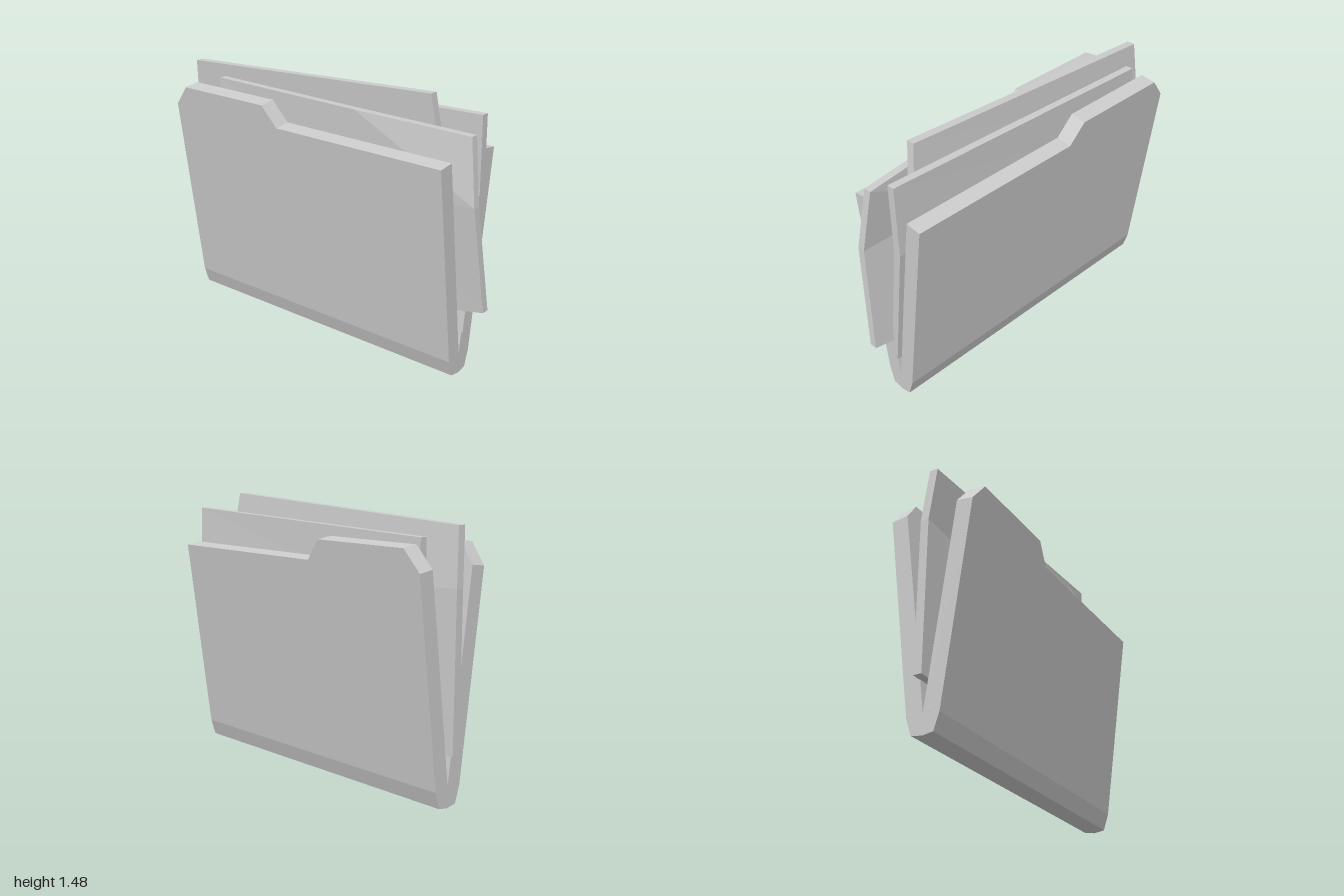
import * as THREE from 'three';

const material = new THREE.MeshStandardMaterial({ color: 0xcccccc, flatShading: true });

function addMesh(group, name, geometry) {
  const mesh = new THREE.Mesh(geometry, material);
  mesh.name = name;
  group.add(mesh);
  return mesh;
}

const polygon = (points) => new THREE.Shape(points.map(([x, y]) => new THREE.Vector2(x, y)));

// Bent sheet: rows run top to bottom, points [x, y, z] left to right along the middle of the sheet
function sheetGeometry(rows, thickness) {
  const positions = [];
  const at = ([r, c], side) => {
    const [x, y, z] = rows[r][c];
    return [x, y, z + side * thickness / 2];
  };
  const quad = (a, b, c, d) => positions.push(...a, ...b, ...c, ...a, ...c, ...d);
  const R = rows.length - 1, C = rows[0].length - 1;

  for (let r = 0; r < R; r++) {
    for (let c = 0; c < C; c++) {
      const cell = [[r, c], [r + 1, c], [r + 1, c + 1], [r, c + 1]];
      quad(...cell.map((p) => at(p, 1)));
      quad(...cell.reverse().map((p) => at(p, -1)));
    }
  }
  // Rim, walked counter-clockwise as seen from the front
  const rim = [];
  for (let r = 0; r < R; r++) rim.push([r, 0]);
  for (let c = 0; c < C; c++) rim.push([R, c]);
  for (let r = R; r > 0; r--) rim.push([r, C]);
  for (let c = C; c > 0; c--) rim.push([0, c]);
  rim.forEach((p, i) => {
    const q = rim[(i + 1) % rim.length];
    quad(at(p, 1), at(p, -1), at(q, -1), at(q, 1));
  });

  const geometry = new THREE.BufferGeometry();
  geometry.setAttribute('position', new THREE.Float32BufferAttribute(positions, 3));
  geometry.computeVertexNormals();
  return geometry;
}

export function createModel() {
  const model = new THREE.Group();
  model.name = 'folder';

  const left = -0.95, right = 0.85, depth = 0.09, lean = 0.133, foldY = 0.112;

  // Covers with a raised tab, leaning apart from the fold
  const coverShape = polygon([
    [left, 0], [right, 0], [right, 1.093], [-0.19, 1.093],
    [-0.28, 1.206], [-0.86, 1.206], [left, 1.093],
  ]);
  for (const side of [1, -1]) {
    const geometry = new THREE.ExtrudeGeometry(coverShape, { depth, bevelEnabled: false });
    if (side < 0) geometry.translate(0, 0, -depth);
    geometry.rotateX(side * lean);
    geometry.translate(0, foldY, 0);
    addMesh(model, side > 0 ? 'frontCover' : 'backCover', geometry);
  }

  // Spine joining the covers at the bottom
  const spine = new THREE.ExtrudeGeometry(
    polygon([[0, 0], [0.06, 0.01], [0.089, 0.1], [0, foldY], [-0.089, 0.1], [-0.06, 0.01]]),
    { depth: right - left, bevelEnabled: false });
  spine.rotateY(Math.PI / 2);
  spine.translate(left, 0, 0);
  addMesh(model, 'spine', spine);

  // Loose papers, each slightly bent
  addMesh(model, 'frontPaper', sheetGeometry([
    [[-0.73, 1.345, 0.085], [0.25, 1.345, 0.112], [0.91, 1.32, 0.052]],
    [[-0.73, 0.95, 0.08], [0.22, 0.97, 0.09], [0.96, 0.98, 0.082]],
    [[-0.71, 0.24, 0.015], [0.2, 0.24, 0.015], [1.0, 0.41, 0.012]],
  ], 0.042));

  addMesh(model, 'middlePaper', sheetGeometry([
    [[-0.98, 1.395, 0.022], [0.655, 1.48, 0.027]],
    [[-1.0, 1.1, -0.005], [0.72, 1.02, -0.016]],
    [[-1.0, 0.28, -0.005], [0.72, 0.2, 0]],
  ], 0.045));

  addMesh(model, 'backPaper', sheetGeometry([
    [[-0.84, 1.335, -0.087], [0.88, 1.39, -0.085]],
    [[-0.84, 0.98, -0.085], [0.88, 1.0, -0.093]],
    [[-0.84, 0.25, -0.005], [0.88, 0.255, 0]],
  ], 0.042));

  return model;
}
